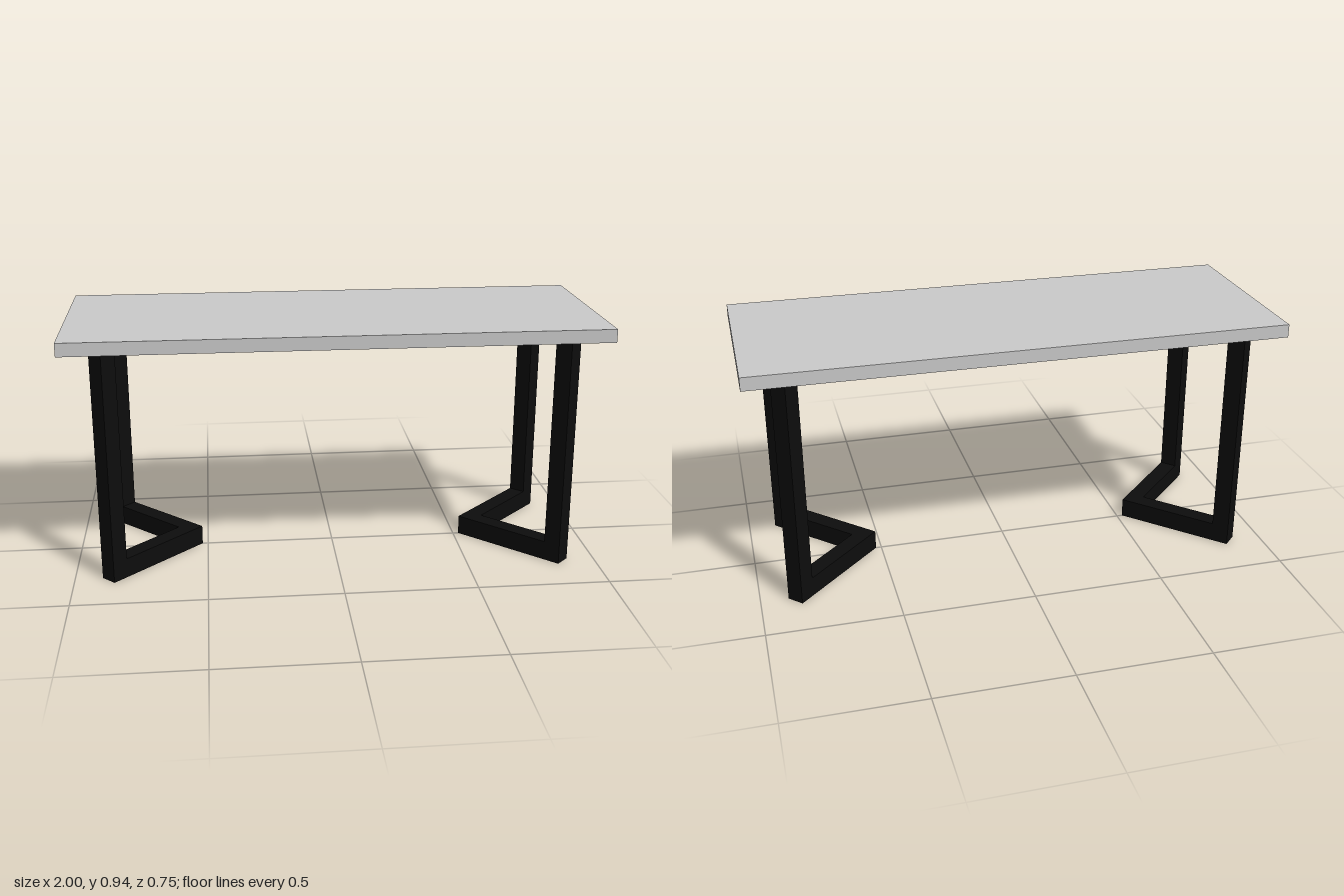
import * as THREE from 'three';

const TOP_Y = 0.943, UNDER_Y = 0.893; // tabletop faces
const BAR_H = 0.075;                  // height of the floor bars
const R = 0.0465;                     // half diagonal of the square bar
const POST_X = 0.85, POST_Z = 0.282;  // post centre

// Extrudes a plan outline of [x, z] points upward from y0 to y1
function prism(points, y0, y1, material, name) {
  const shape = new THREE.Shape(points.map(([x, z]) => new THREE.Vector2(x, -z)));
  const geometry = new THREE.ExtrudeGeometry(shape, { depth: y1 - y0, bevelEnabled: false });
  geometry.rotateX(-Math.PI / 2).translate(0, y0, 0);
  const mesh = new THREE.Mesh(geometry, material);
  mesh.name = name;
  return mesh;
}

// One end frame: a V-shaped floor bar pointing inward, with a post at each tip
function createLegFrame(material, name) {
  const frame = new THREE.Group();
  frame.name = name;

  // The bars run at 45 degrees and meet in a mitre at z = 0
  const apex = POST_X - POST_Z;
  frame.add(prism([
    [apex - R, 0], [POST_X, POST_Z + R], [POST_X + R, POST_Z],
    [apex + R, 0], [POST_X + R, -POST_Z], [POST_X, -POST_Z - R],
  ], 0, BAR_H, material, 'floorBar'));

  // Square posts turned to line up with the bars
  for (const [side, postName] of [[1, 'frontPost'], [-1, 'backPost']]) {
    const z = side * POST_Z;
    frame.add(prism([
      [POST_X - R, z], [POST_X, z + R], [POST_X + R, z], [POST_X, z - R],
    ], BAR_H, UNDER_Y, material, postName));
  }
  return frame;
}

export function createModel() {
  const table = new THREE.Group();
  table.name = 'table';
  const topMaterial = new THREE.MeshStandardMaterial({ color: 0xcccccc });
  const legMaterial = new THREE.MeshStandardMaterial({ color: 0x0d0d0d });

  // Plain slab top
  const top = new THREE.Mesh(new THREE.BoxGeometry(2, TOP_Y - UNDER_Y, 0.75), topMaterial);
  top.name = 'tabletop';
  top.position.y = (TOP_Y + UNDER_Y) / 2;
  table.add(top);

  // The second frame is the first one turned half way round
  const left = createLegFrame(legMaterial, 'leftLegFrame');
  const right = createLegFrame(legMaterial, 'rightLegFrame');
  right.rotation.y = Math.PI;
  // Turning swaps front and back, so swap the post names to match
  right.children[1].name = 'backPost';
  right.children[2].name = 'frontPost';
  table.add(left, right);

  return table;
}
